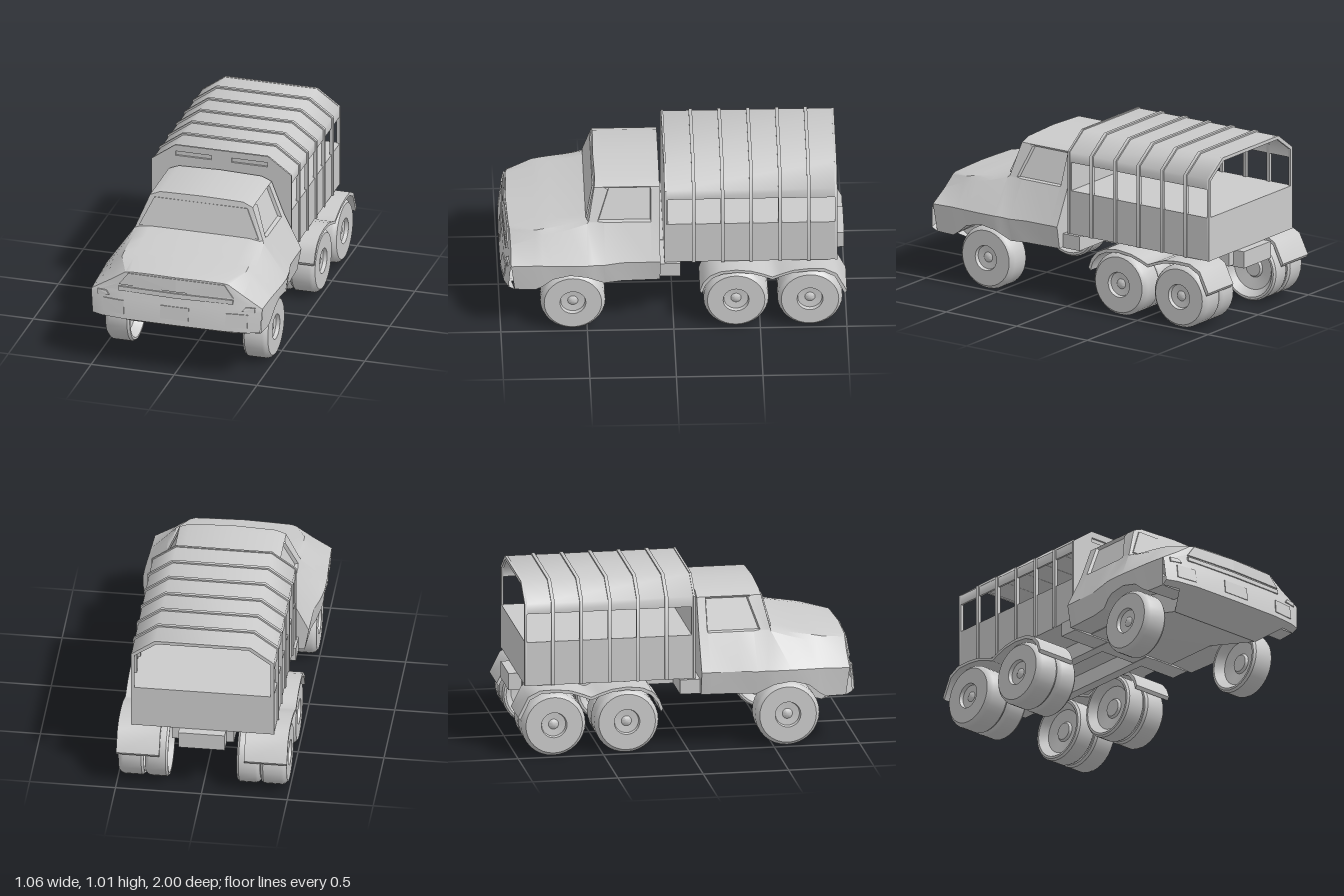
import * as THREE from 'three';
import { toCreasedNormals } from 'three/addons/utils/BufferGeometryUtils.js';
import { ConvexGeometry } from 'three/addons/geometries/ConvexGeometry.js';

const grey = new THREE.MeshStandardMaterial({ color: 0xcccccc });
const greyTwoSided = new THREE.MeshStandardMaterial({ color: 0xcccccc, side: THREE.DoubleSide });

// Skin over rows of half cross-sections (outer edge to centre line), mirrored in x
function skin(halves) {
  const rows = halves.map(h => [...h.map(([x, y, z]) => [-x, y, z]), ...h.slice(0, -1).reverse()]);
  const n = rows[0].length, index = [];
  for (let i = 0; i < rows.length - 1; i++) {
    for (let j = 0; j < n - 1; j++) {
      const a = i * n + j, b = a + n;
      index.push(a, b, a + 1, b, b + 1, a + 1);
    }
  }
  const g = new THREE.BufferGeometry();
  g.setAttribute('position', new THREE.Float32BufferAttribute(rows.flat(2), 3));
  g.setIndex(index);
  return toCreasedNormals(g, 0.45);
}

// Adds the lower and upper side-window edges to a body section, optionally sunk inwards
function glaze(half, inset = 0, zLow, zHigh) {
  const [p, q] = half.slice(3, 5);
  const edge = (t, z) => [p[0] + (q[0] - p[0]) * t - inset, p[1] + (q[1] - p[1]) * t, z ?? p[2] + (q[2] - p[2]) * t];
  return [...half.slice(0, 4), edge(0.03, zLow), edge(0.93, zHigh), ...half.slice(4)];
}

// Thin slab over a flat outline, raised along direction d
function plate(points, d) {
  const v = points.map(p => new THREE.Vector3(...p));
  const off = new THREE.Vector3(...d);
  return new ConvexGeometry([...v.map(p => p.clone().add(off)), ...v.map(p => p.clone().sub(off))]);
}

// Side profile of (z, y) points, extruded across x
function sideExtrude(points, width, x = 0) {
  const shape = new THREE.Shape(points.map(p => new THREE.Vector2(...p)));
  const g = new THREE.ExtrudeGeometry(shape, { depth: width, bevelEnabled: false });
  return toCreasedNormals(g.translate(0, 0, -width / 2).rotateY(-Math.PI / 2).translate(x, 0, 0), 0.8);
}

// Canopy outline, grown by s, open at height y0
function canopyPath(s, y0) {
  const right = [[0.415 + s, y0], [0.415 + s, 0.9 + s / 2], [0.277 + s / 2, 1 + s]];
  return [...right, ...right.map(([x, y]) => [-x, y]).reverse()].map(p => new THREE.Vector2(...p));
}

function hoop(s, thick, y0, z, depth) {
  const shape = new THREE.Shape([...canopyPath(s, y0), ...canopyPath(s - thick, y0).reverse()]);
  const g = new THREE.ExtrudeGeometry(shape, { depth, bevelEnabled: false });
  return toCreasedNormals(g.translate(0, 0, z), 1);
}

export function createModel() {
  const model = new THREE.Group();
  const add = (name, geo, mat = grey) => {
    const m = new THREE.Mesh(geo, mat);
    m.name = name;
    model.add(m);
    return m;
  };
  const box = (name, w, h, d, x, y, z) => add(name, new THREE.BoxGeometry(w, h, d).translate(x, y, z));

  // Cab and bonnet: sections from floor, sill, belt and shoulder up to the centre line
  const cab = (z, sill, belt) => [[0.31, 0.335, z], [sill, 0.325, z], [belt, 0.46, z],
    [0.385, 0.67, z], [0.31, 0.865, z], [0.25, 0.89, z], [0, 0.897, z]];
  const bonnet = (z, floor, sx, sy, bx, hx, hy, top) => [[0.31, floor, z], [sx, sy, z], [bx, 0.465, z],
    [hx, hy, z], [hx - 0.03, top - 0.012, z], [0.3, top - 0.003, z], [0, top, z]];
  add('cabBody', skin([
    Array(9).fill([0, 0.55, 0.078]),
    glaze(cab(0.078, 0.465, 0.49)),
    glaze(cab(0.128, 0.468, 0.49)),
    glaze(cab(0.133, 0.468, 0.49), 0.02),
    glaze(cab(0.3, 0.475, 0.492), 0.02),
    glaze(cab(0.398, 0.495, 0.515), 0.02, 0.43, 0.37),
    glaze(cab(0.402, 0.495, 0.515), 0, 0.438, 0.377),
    glaze([[0.31, 0.37, 0.46], [0.515, 0.36, 0.46], [0.525, 0.465, 0.46], [0.385, 0.67, 0.49],
      [0.31, 0.865, 0.455], [0.25, 0.89, 0.45], [0, 0.897, 0.455]]),
    ...[
      bonnet(0.5, 0.39, 0.522, 0.38, 0.53, 0.39, 0.665, 0.69),
      bonnet(0.6, 0.4, 0.522, 0.395, 0.53, 0.4, 0.635, 0.665),
      bonnet(0.7, 0.38, 0.52, 0.37, 0.525, 0.405, 0.61, 0.648),
      bonnet(0.76, 0.33, 0.515, 0.32, 0.522, 0.405, 0.595, 0.638),
      bonnet(0.8, 0.3, 0.51, 0.295, 0.52, 0.405, 0.585, 0.63),
      [[0.31, 0.295, 0.92], [0.5, 0.295, 0.92], [0.515, 0.46, 0.94], [0.4, 0.53, 0.94],
        [0.31, 0.59, 0.945], [0.28, 0.597, 0.95], [0, 0.6, 0.96]],
    ].map(h => glaze(h)),
  ]), greyTwoSided);

  // Nose: bonnet lip, grille, ledge, bumper and sloping valance
  add('noseAndBumper', skin([
    [[0.31, 0.59, 0.945], [0.28, 0.597, 0.95], [0.15, 0.6, 0.955], [0, 0.6, 0.96]],
    [[0.4, 0.53, 0.94], [0.35, 0.52, 0.955], [0.17, 0.51, 0.965], [0, 0.51, 0.97]],
    [[0.515, 0.46, 0.94], [0.46, 0.47, 0.952], [0.3, 0.475, 0.965], [0, 0.475, 0.973]],
    [[0.515, 0.44, 0.945], [0.44, 0.435, 0.965], [0.3, 0.44, 0.98], [0, 0.445, 0.985]],
    [[0.505, 0.315, 0.955], [0.44, 0.315, 0.98], [0.3, 0.315, 0.997], [0, 0.315, 1]],
    [[0.5, 0.295, 0.92], [0.39, 0.295, 0.94], [0.31, 0.22, 0.81], [0, 0.22, 0.81]],
  ]), greyTwoSided);

  // Belly between the front wheels
  add('underbody', sideExtrude([[0.92, 0.3], [0.81, 0.221], [0.74, 0.24], [0.42, 0.33], [0.08, 0.33],
    [0.08, 0.48], [0.9, 0.48]], 0.62));

  // Glass, grille slats and lamps
  add('windscreen', plate([[-0.36, 0.69, 0.502], [0.36, 0.69, 0.502], [0.28, 0.858, 0.462], [-0.28, 0.858, 0.462]],
    [0, 0.001, 0.004]));
  for (const s of [-1, 1]) {
    add('upperGrille', plate([[0, 0.592, 0.962], [s * 0.29, 0.588, 0.952], [s * 0.345, 0.516, 0.958],
      [0, 0.516, 0.972]], [0, 0.001, 0.006]));
    add('lowerGrille', plate([[0, 0.506, 0.973], [s * 0.345, 0.505, 0.962], [s * 0.345, 0.48, 0.965],
      [0, 0.478, 0.976]], [0, 0, 0.006]));
    add('headlight', plate([[s * 0.4, 0.445, 0.972], [s * 0.475, 0.44, 0.958], [s * 0.475, 0.468, 0.954],
      [s * 0.42, 0.468, 0.962]], [0, 0, 0.005]));
    add('bumperLamp', plate([[s * 0.305, 0.345, 0.994], [s * 0.435, 0.345, 0.978], [s * 0.435, 0.425, 0.968],
      [s * 0.31, 0.425, 0.983]], [0, 0, 0.004]));
  }
  add('frontPlate', plate([[-0.085, 0.35, 0.996], [0.085, 0.35, 0.996], [0.085, 0.428, 0.987],
    [-0.085, 0.428, 0.987]], [0, 0, 0.004]));

  // Load bed and canopy, its front wall slotted over a closed backing
  box('bed', 0.83, 0.26, 0.985, 0, 0.54, -0.452);
  const panel = new THREE.Shape(canopyPath(0.006, 0.41));
  const backing = new THREE.Shape(canopyPath(-0.005, 0.41));
  for (const s of [-1, 1]) {
    panel.holes.push(new THREE.Path([[0.06, 0.94], [0.06, 0.967], [0.277, 0.967], [0.277, 0.94]]
      .map(([x, y]) => new THREE.Vector2(s * x, y))));
  }
  add('canopyFront', new THREE.ExtrudeGeometry(panel, { depth: 0.012, bevelEnabled: false }).translate(0, 0, 0.04));
  add('canopyFrontBacking', new THREE.ExtrudeGeometry(backing, { depth: 0.008, bevelEnabled: false })
    .translate(0, 0, 0.032));
  add('canopyRoof', hoop(0, 0.012, 0.84, -0.945, 0.985));
  add('rearFrame', hoop(0.002, 0.02, 0.41, -0.947, 0.014));
  for (let i = 0; i < 5; i++) add('canopyRib', hoop(0.009, 0.022, 0.41, -0.127 - i * 0.1663, 0.02));

  // Chassis
  for (const s of [-1, 1]) box('chassisRail', 0.06, 0.09, 1, s * 0.15, 0.365, -0.42);
  box('rearCrossmember', 0.27, 0.1, 0.1, 0, 0.36, -0.945);
  box('sideTank', 0.86, 0.085, 0.12, 0, 0.365, 0.02);

  // Rear mudguards, bridging both axles
  const guard = [[-0.15, 0.26], [-0.17, 0.315], [-0.21, 0.362], [-0.27, 0.39], [-0.36, 0.4], [-0.45, 0.39],
    [-0.52, 0.368], [-0.57, 0.348], [-0.62, 0.368], [-0.69, 0.392], [-0.78, 0.402], [-0.87, 0.4],
    [-0.94, 0.365], [-1, 0.245]];
  const guardLoop = [...guard, ...guard.map(([z, y]) => [-0.575 + (z + 0.575) * 0.97, y - 0.018]).reverse()];
  for (const s of [-1, 1]) add('rearMudguard', sideExtrude(guardLoop, 0.25, s * 0.372));

  // Wheels: flat outer wall with a shallow domed hub, dished inner side
  const wheelGeo = toCreasedNormals(new THREE.LatheGeometry([[0, 0.05], [0.05, 0.05], [0.06, 0.065], [0.13, 0.05],
    [0.165, 0], [0.178, 0], [0.188, 0.014], [0.188, 0.12], [0.181, 0.136], [0.166, 0.15], [0.075, 0.15],
    [0.07, 0.128], [0.03, 0.124], [0.018, 0.132], [0, 0.136]].map(p => new THREE.Vector2(...p)), 32), 0.6);
  const wheel = (name, s, x, z, w) => {
    const m = add(name, wheelGeo);
    m.rotation.z = -s * Math.PI / 2;
    m.scale.y = w;
    m.position.set(s * x, 0.188, z);
  };
  for (const s of [-1, 1]) {
    wheel('frontWheel', s, 0.34, 0.583, 1);
    for (const z of [-0.36, -0.787]) {
      wheel('rearOuterWheel', s, 0.34, z, 1);
      wheel('rearInnerWheel', s, 0.2, z, 0.9);
    }
  }
  return model;
}
